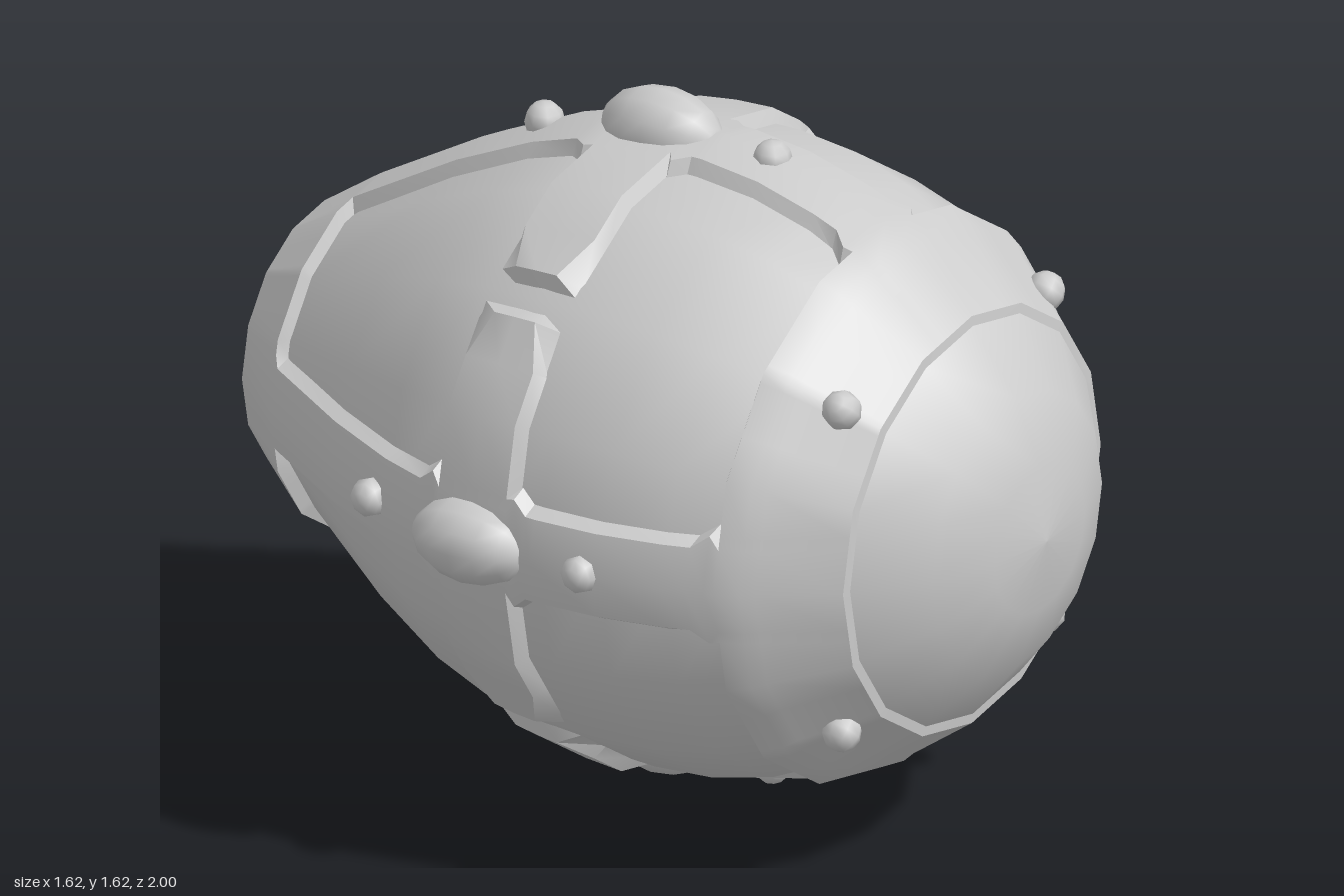
import * as THREE from 'three';
import { toCreasedNormals } from 'three/addons/utils/BufferGeometryUtils.js';

const CENTRE_Y = 0.815, SIDES = 16, STEP = (2 * Math.PI) / SIDES;
const rad = THREE.MathUtils.degToRad;

// Profiles along the egg's axis as [z, radius], back to front
const INNER = [[-1, 0], [-0.975, 0.12], [-0.92, 0.235], [-0.85, 0.315], [-0.75, 0.39], [-0.5, 0.54],
  [-0.3, 0.637], [-0.15, 0.685], [0, 0.708], [0.15, 0.712], [0.3, 0.7], [0.45, 0.662], [0.6, 0.592],
  [0.7, 0.54], [0.8, 0.465], [0.92, 0.32], [0.98, 0.17], [1, 0]];
const OUTER = [[-0.92, 0.31], [-0.77, 0.415], [-0.5, 0.573], [-0.3, 0.668], [-0.15, 0.718], [0, 0.74],
  [0.15, 0.745], [0.3, 0.73], [0.45, 0.692], [0.57, 0.648], [0.62, 0.622], [0.645, 0.598], [0.8, 0.485]];

function radiusAt(profile, z) {
  const i = Math.min(Math.max(profile.findIndex(p => p[0] >= z), 1), profile.length - 1);
  const [a, b] = [profile[i - 1], profile[i]];
  return THREE.MathUtils.mapLinear(z, a[0], b[0], a[1], b[1]);
}

// Raised frame with four straps, a broken girdle and eight windows
// Row kinds: r = full ring, w = window, c = window row with chamfered corner,
// b = girdle, e = girdle edge, n = sunk to the inner egg
const ROWS = [[0.803, 'n'], [0.8, 'r'], [0.645, 'r'], [0.62, 'r'], [0.57, 'r'], [0.548, 'c'], [0.51, 'w'],
  [0.45, 'w'], [0.3, 'w'], [0.15, 'w'], [0.125, 'w'], [0.09, 'c'], [0.07, 'e'], [-0.025, 'b'], [-0.12, 'e'],
  [-0.142, 'c'], [-0.18, 'w'], [-0.3, 'w'], [-0.4, 'w'], [-0.5, 'w'], [-0.64, 'w'], [-0.762, 'w'],
  [-0.775, 'r'], [-0.92, 'r'], [-0.92, 'n']];

function frameGeometry() {
  const columns = 56, pos = [], height = [], index = [];
  for (const [z0, kind] of ROWS) {
    const r0 = radiusAt(OUTER, z0), flare = kind === 'c' ? 0.03 : 0;
    const angles = [0, Math.asin((0.1 + flare) / r0), Math.min(Math.asin((0.125 + flare) / r0), rad(20)),
      STEP, rad(32), rad(40.5), rad(43), rad(45)];
    for (let j = 0; j < columns; j++) {
      // Each eighth of the circle mirrors its neighbour
      const oct = Math.floor(j / 7), even = oct % 2 === 0, k = even ? j % 7 : 7 - (j % 7);
      const angle = even ? oct * rad(45) + angles[k] : (oct + 1) * rad(45) - angles[k];
      const isWindow = 'wc'.includes(kind) && k >= 2;
      const isGap = 'be'.includes(kind) && k >= 6;
      const h = kind === 'n' || isWindow || isGap ? 0 : 1;
      // Chamfer the ends of the girdle
      const z = kind === 'e' && k >= 5 ? THREE.MathUtils.lerp(z0, -0.025, 0.4) : z0;
      const facet = Math.cos(STEP / 2) / Math.cos((angle % STEP) - STEP / 2);
      const r = (h ? radiusAt(OUTER, z) : radiusAt(INNER, z) - 0.004) * facet;
      pos.push(r * Math.cos(angle), r * Math.sin(angle), z);
      height.push(h);
    }
  }
  for (let i = 0; i < ROWS.length - 1; i++) {
    for (let j = 0; j < columns; j++) {
      const j2 = (j + 1) % columns;
      const a = i * columns + j, b = a + columns, d = i * columns + j2, c = d + columns;
      if (height[a] + height[b] + height[c] + height[d] > 0) index.push(a, b, d, b, c, d);
    }
  }
  const geo = new THREE.BufferGeometry();
  geo.setAttribute('position', new THREE.Float32BufferAttribute(pos, 3));
  geo.setIndex(index);
  return toCreasedNormals(geo, 0.55);
}

export function createModel() {
  const model = new THREE.Group();
  model.name = 'ornateEgg';
  const egg = new THREE.Group();
  egg.name = 'egg';
  egg.position.y = CENTRE_Y;
  model.add(egg);
  const material = new THREE.MeshStandardMaterial({ color: 0xcccccc });

  function add(name, geometry) {
    const mesh = new THREE.Mesh(geometry, material);
    mesh.name = name;
    egg.add(mesh);
    return mesh;
  }

  // Inner egg lying along z
  const profile = INNER.map(([z, r]) => new THREE.Vector2(r, z));
  add('innerEgg', new THREE.LatheGeometry(profile, SIDES).rotateX(Math.PI / 2));
  add('raisedFrame', frameGeometry());

  const gemGeo = new THREE.SphereGeometry(1, 12, 8).rotateX(Math.PI / 2).scale(0.1, 0.095, 0.15);
  const studGeo = new THREE.SphereGeometry(0.045, 8, 6).rotateZ(-Math.PI / 2);
  function place(name, geometry, angle, r, z) {
    const mesh = add(name, geometry);
    mesh.position.set(r * Math.cos(angle), r * Math.sin(angle), z);
    mesh.rotation.z = angle;
  }

  // Gems and studs on the straps, studs on the front collar
  for (let q = 0; q < 4; q++) {
    const angle = (q * Math.PI) / 2;
    place('gem', gemGeo, angle, 0.712, -0.02);
    place('strapStudFront', studGeo, angle, 0.72, 0.27);
    place('strapStudBack', studGeo, angle, 0.655, -0.335);
    place('collarStud', studGeo, angle + Math.PI / 4, 0.542, 0.725);
  }
  return model;
}
